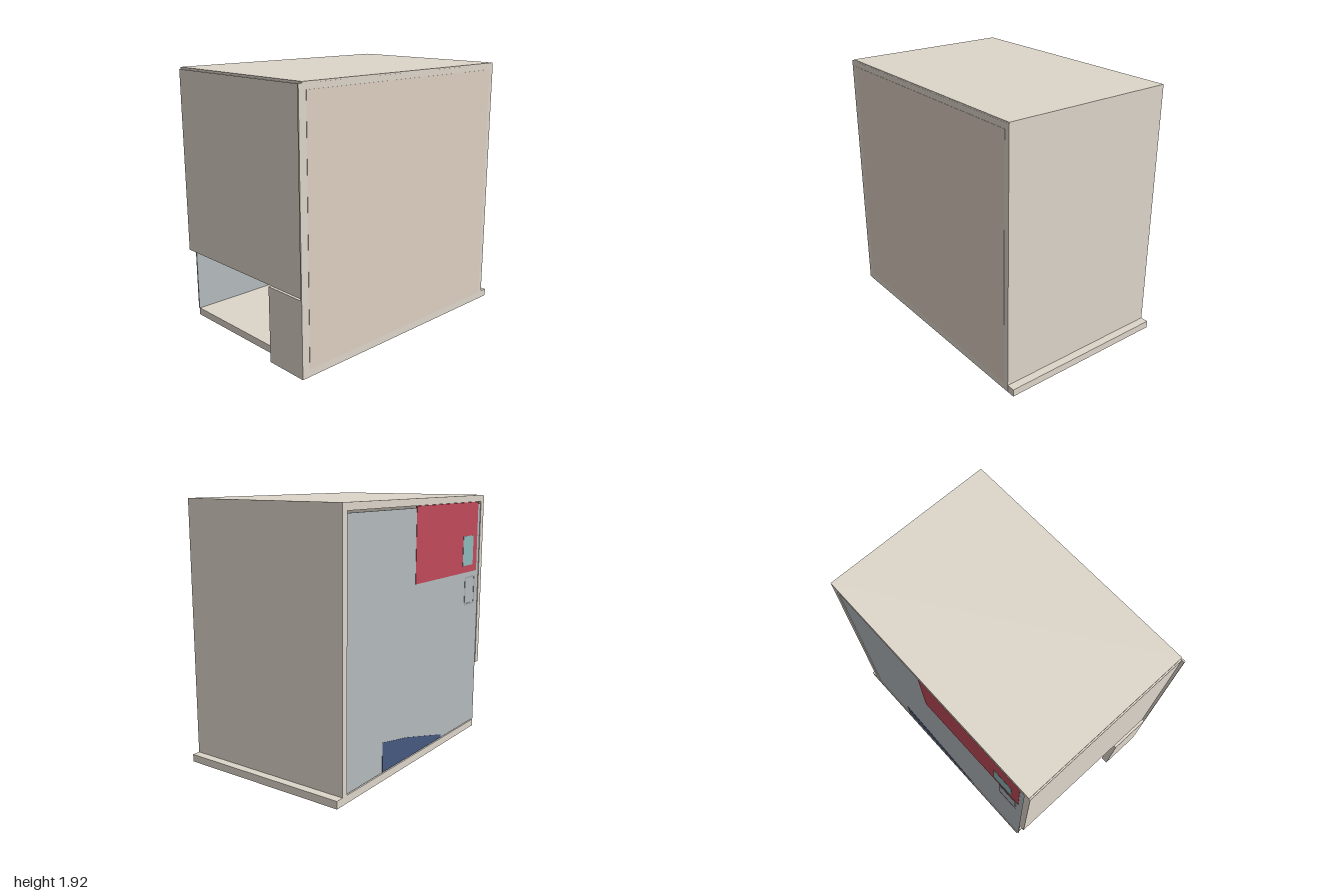
import * as THREE from 'three';

export function createModel() {
  const root = new THREE.Group();
  const mat = (color) => new THREE.MeshStandardMaterial({ color });
  const board = mat(0xddd5c9), tan = mat(0xdccfbf), sheet = mat(0xb4b9bc);
  const red = mat(0xc04a5a), navy = mat(0x46587e), teal = mat(0x8fb9bb), trim = mat(0xa2a6a8);

  // Box given by its extents along each axis
  const box = (name, material, [x0, x1], [y0, y1], [z0, z1]) => {
    const mesh = new THREE.Mesh(new THREE.BoxGeometry(x1 - x0, y1 - y0, z1 - z0), material);
    mesh.position.set((x0 + x1) / 2, (y0 + y1) / 2, (z0 + z1) / 2);
    mesh.name = name;
    root.add(mesh);
    return mesh;
  };
  const depth = [-0.663, 0.65];

  // Carcass: the base sticks out past the closed side wall
  box('basePlate', board, [-0.92, 1], [0, 0.055], [-0.663, 0.66]);
  box('topBoard', board, [-0.97, 0.94], [1.87, 1.92], [-0.663, 0.66]);
  box('closedSideWall', board, [0.89, 0.94], [0.055, 1.87], [-0.663, 0.66]);

  // Side with a low opening, closed at the front by a short post
  box('upperSidePanel', board, [-0.98, -0.93], [0.55, 1.905], depth);
  box('cornerPost', board, [-1, -0.945], [0, 0.55], [0.325, 0.65]);

  // Front wall with a tinted inner field
  box('frontWall', board, [-1, 0.94], [0, 1.91], [0.65, 0.661]);
  box('frontField', tan, [-0.94, 0.9], [0.055, 1.87], [0.645, 0.663]);

  // Back sheet, leaving a narrow gap under the top board
  box('backSheet', sheet, [-0.93, 0.885], [0.06, 1.855], [-0.658, -0.648]);

  // Coloured fields set on the back sheet
  box('redField', red, [-0.89, 0.065], [1.325, 1.868], [-0.66, -0.65]);
  box('tealField', teal, [-0.82, -0.65], [1.38, 1.61], [-0.662, -0.652]);

  const wedge = new THREE.Shape([[-0.37, 0.062], [0.47, 0.062], [0.47, 0.28], [0.15, 0.22], [-0.37, 0.085]]
    .map(([x, y]) => new THREE.Vector2(x, y)));
  const navyField = new THREE.Mesh(
    new THREE.ExtrudeGeometry(wedge, { depth: 0.01, bevelEnabled: false }), navy);
  navyField.position.z = -0.66;
  navyField.name = 'navyField';
  root.add(navyField);

  // Thin square outline
  for (const x of [-0.87, -0.715]) box('squareUpright', trim, [x, x + 0.015], [1.06, 1.29], [-0.66, -0.65]);
  for (const y of [1.06, 1.275]) box('squareRail', trim, [-0.855, -0.715], [y, y + 0.015], [-0.66, -0.65]);

  return root;
}
